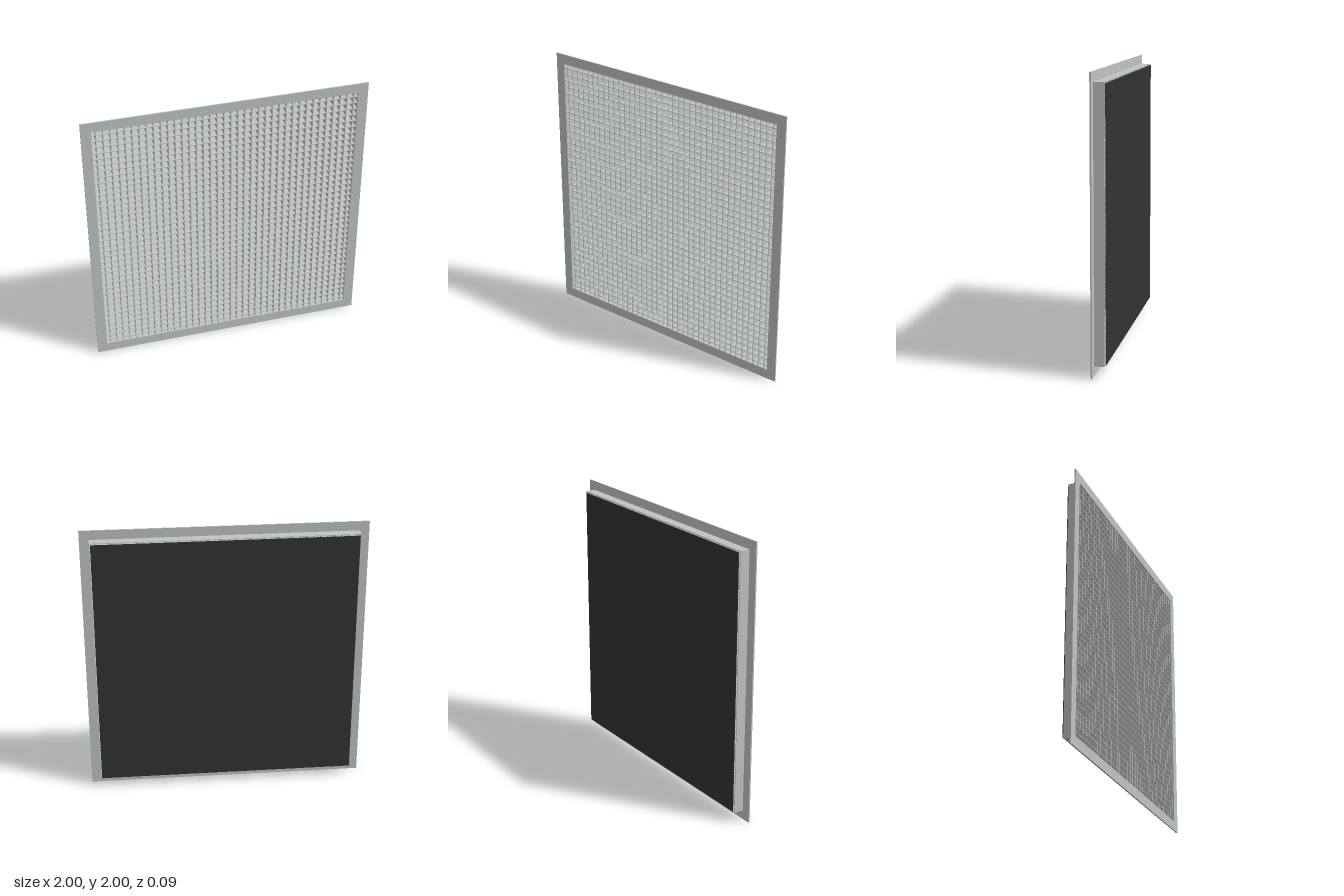
import * as THREE from 'three';

const paint = new THREE.MeshStandardMaterial({ color: 0xbfc4c3 });
paint.name = 'light grey paint';
const dark = new THREE.MeshStandardMaterial({ color: 0x333333 });
dark.name = 'dark backing';

const OPENING = 0.929; // half size of the opening
const NECK = 0.934;    // half size of the neck outside

// Square ring with a square hole, from z0 to z1
function squareRing(name, outer, inner, z0, z1) {
  const square = (path, r) =>
    path.moveTo(-r, -r).lineTo(r, -r).lineTo(r, r).lineTo(-r, r).closePath();
  const shape = square(new THREE.Shape(), outer);
  shape.holes.push(square(new THREE.Path(), inner));
  const geometry = new THREE.ExtrudeGeometry(shape, { depth: z1 - z0, bevelEnabled: false });
  const mesh = new THREE.Mesh(geometry, paint);
  mesh.name = name;
  mesh.position.set(0, 1, z0);
  return mesh;
}

export function createModel() {
  const model = new THREE.Group();
  model.name = 'ventGrille';

  // Flat face flange and the neck behind it
  model.add(squareRing('flange', 1, OPENING, 0.035, 0.045));
  model.add(squareRing('neck', NECK, OPENING, -0.036, 0.035));

  // Egg-crate core of thin crossing blades
  const core = new THREE.Group();
  core.name = 'eggCrateCore';
  const count = 38, pitch = 0.0486, thickness = 0.004;
  const front = 0.042, back = -0.035;
  const upright = new THREE.BoxGeometry(thickness, 2 * OPENING, front - back);
  const level = new THREE.BoxGeometry(2 * OPENING, thickness, front - back);
  for (let i = 0; i < count; i++) {
    const offset = (i - (count - 1) / 2) * pitch;
    const vertical = new THREE.Mesh(upright, paint);
    vertical.name = 'verticalBlade';
    vertical.position.set(offset, 1, (front + back) / 2);
    const horizontal = new THREE.Mesh(level, paint);
    horizontal.name = 'horizontalBlade';
    horizontal.position.set(0, 1 + offset, (front + back) / 2);
    core.add(vertical, horizontal);
  }
  model.add(core);

  // Thin dark sheet just behind the neck
  const sheet = new THREE.Mesh(new THREE.BoxGeometry(1.85, 1.85, 0.003), dark);
  sheet.name = 'backSheet';
  sheet.position.set(0, 1, -0.0435);
  model.add(sheet);

  return model;
}
